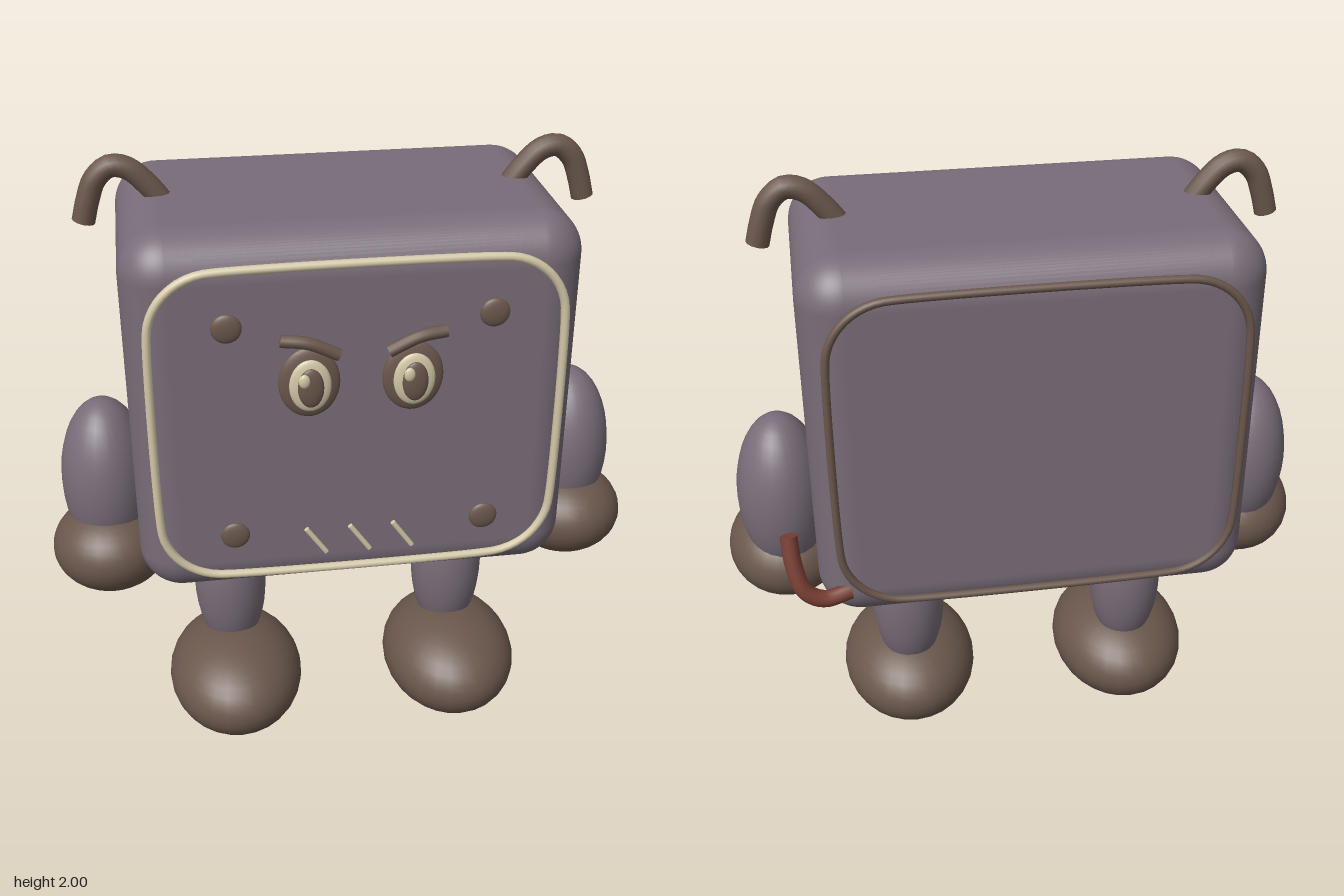
import * as THREE from 'three';
import { RoundedBoxGeometry } from 'three/addons/geometries/RoundedBoxGeometry.js';

const material = (name, color) => {
  const m = new THREE.MeshStandardMaterial({ color });
  m.name = name;
  return m;
};

export function createModel() {
  const model = new THREE.Group();
  const mauve = material('mauve', 0x786c78);
  const brown = material('brown', 0x6a574c);
  const cream = material('cream', 0xd3c8a8);
  const rust = material('rust', 0x7a4034);

  const add = (name, geometry, mat, parent = model) => {
    const mesh = new THREE.Mesh(geometry, mat);
    mesh.name = name;
    parent.add(mesh);
    return mesh;
  };
  const ellipsoid = (name, mat, pos, radii, parent = model) => {
    const mesh = add(name, new THREE.SphereGeometry(1, 28, 20), mat, parent);
    mesh.position.set(...pos);
    mesh.scale.set(...radii);
    return mesh;
  };
  // Round tube with capped ends through a few points
  const tube = (name, mat, points, radius, parent = model) => {
    const group = new THREE.Group();
    group.name = name;
    parent.add(group);
    const curve = new THREE.CatmullRomCurve3(points.map((p) => new THREE.Vector3(...p)));
    add(name + 'Tube', new THREE.TubeGeometry(curve, 24, radius, 12), mat, group);
    for (const t of [0, 1]) {
      const cap = add(name + 'Cap', new THREE.CircleGeometry(radius, 12), mat, group);
      const dir = curve.getTangentAt(t).multiplyScalar(t ? 1 : -1);
      cap.position.copy(curve.getPointAt(t));
      cap.quaternion.setFromUnitVectors(new THREE.Vector3(0, 0, 1), dir);
    }
    return group;
  };

  // Body: softly rounded box with slightly pillowed faces
  const bodyGeometry = new RoundedBoxGeometry(1.32, 1.16, 0.81, 8, 0.13);
  add('body', bodyGeometry, mauve).position.set(0, 1.3, -0.035);

  // Trim: closed rounded-rectangle tubes on the front and back
  const trim = (name, mat, z, radius) => {
    const w = 0.592, h = 0.493, r = 0.19;
    const points = [];
    for (const [sx, sy, start] of [[1, 1, 0], [-1, 1, 1], [-1, -1, 2], [1, -1, 3]]) {
      for (let i = 0; i <= 6; i++) {
        const a = (start + i / 6) * Math.PI / 2;
        points.push(new THREE.Vector3(
          sx * (w - r) + r * Math.cos(a), 1.298 + sy * (h - r) + r * Math.sin(a), z));
      }
    }
    const curve = new THREE.CatmullRomCurve3(points, true, 'centripetal');
    add(name, new THREE.TubeGeometry(curve, 160, radius, 10, true), mat);
  };
  trim('frontTrim', cream, 0.372, 0.013);
  trim('backTrim', brown, -0.443, 0.012);

  for (const s of [-1, 1]) {
    const side = new THREE.Group();
    side.name = s > 0 ? 'leftSide' : 'rightSide';
    model.add(side);

    // Limbs
    ellipsoid('arm', mauve, [s * 0.752, 0.95, -0.015], [0.143, 0.28, 0.167], side);
    ellipsoid('hand', brown, [s * 0.755, 0.732, 0.03], [0.188, 0.148, 0.21], side).rotation.x = -0.15;
    ellipsoid('leg', mauve, [s * 0.375, 0.5, -0.033], [0.12, 0.28, 0.12], side);
    ellipsoid('foot', brown, [s * 0.375, 0.175, 0.05], [0.226, 0.169, 0.292], side);

    // Curled ear
    tube('ear', brown, [[0.5, 1.83], [0.555, 1.905], [0.61, 1.957], [0.66, 1.966],
      [0.705, 1.93], [0.73, 1.87], [0.748, 1.805]].map(([x, y]) => [s * x, y, -0.037]), 0.034, side);

    // Eye: stacked flat discs with a highlight
    const x = s * 0.148;
    ellipsoid('eyeRim', brown, [x, 1.46, 0.405], [0.088, 0.108, 0.022], side);
    ellipsoid('eyeWhite', cream, [x, 1.46, 0.428], [0.06, 0.08, 0.016], side);
    ellipsoid('pupil', brown, [x, 1.46, 0.444], [0.037, 0.06, 0.014], side);
    ellipsoid('highlight', cream, [x - 0.02, 1.49, 0.459], [0.016, 0.021, 0.009], side);
    tube('brow', brown, [[s * 0.232, 1.612, 0.445], [s * 0.155, 1.603, 0.453],
      [s * 0.07, 1.562, 0.45]], 0.018, side);

    // Bolts at the panel corners
    for (const y of [0.97, 1.643]) {
      ellipsoid('bolt', brown, [s * 0.375, y, 0.412], [0.043, 0.043, 0.014], side);
    }
  }

  // Mouth: three slanted slits
  for (const x of [-0.132, 0, 0.13]) {
    tube('mouthSlit', cream, [[x - 0.03, 0.965, 0.403], [x + 0.03, 0.878, 0.403]], 0.008);
  }

  // Tail hooked around the left rear corner
  tube('tail', rust, [[0.57, 0.84, -0.42], [0.65, 0.832, -0.438], [0.705, 0.87, -0.44],
    [0.73, 0.95, -0.42], [0.737, 1.04, -0.395]], 0.026);

  return model;
}
